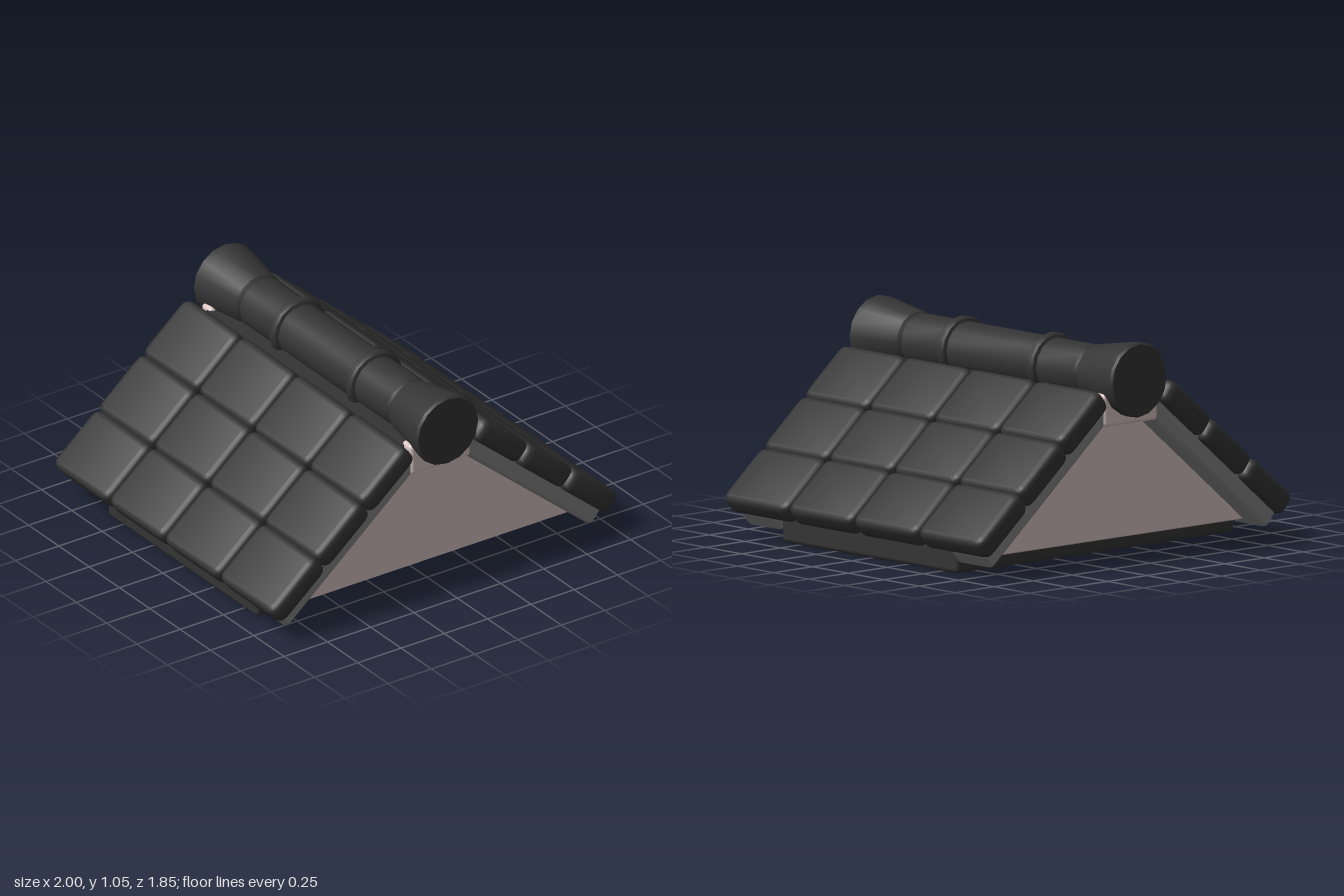
import * as THREE from 'three';
import { RoundedBoxGeometry } from 'three/addons/geometries/RoundedBoxGeometry.js';
import { toCreasedNormals } from 'three/addons/utils/BufferGeometryUtils.js';

const SLOPE = THREE.MathUtils.degToRad(40);

function material(name, color) {
  const m = new THREE.MeshStandardMaterial({ color });
  m.name = name;
  return m;
}

// Pillow-shaped tile: rounded rectangle with bevelled faces, lying flat
function tileGeometry(length, thickness, width) {
  const x = length / 2, y = width / 2, r = 0.05, bevel = 0.034;
  const shape = new THREE.Shape();
  shape.moveTo(-x + r, -y);
  shape.lineTo(x - r, -y).quadraticCurveTo(x, -y, x, -y + r);
  shape.lineTo(x, y - r).quadraticCurveTo(x, y, x - r, y);
  shape.lineTo(-x + r, y).quadraticCurveTo(-x, y, -x, y - r);
  shape.lineTo(-x, -y + r).quadraticCurveTo(-x, -y, -x + r, -y);
  const depth = thickness - 2 * bevel;
  const geometry = new THREE.ExtrudeGeometry(shape, {
    depth, curveSegments: 3, bevelThickness: bevel, bevelSize: 0.028, bevelOffset: -0.028, bevelSegments: 3,
  });
  geometry.translate(0, 0, -depth / 2);
  geometry.rotateX(-Math.PI / 2);
  return toCreasedNormals(geometry, 0.8);
}

export function createModel() {
  const model = new THREE.Group();
  model.name = 'roof';
  const charcoal = material('charcoal', 0x343434);
  const grey = material('grey', 0x878787);
  const plaster = material('pale plaster', 0xdac7c4);

  function add(name, geometry, mat, x = 0, y = 0, z = 0) {
    const mesh = new THREE.Mesh(geometry, mat);
    mesh.name = name;
    mesh.position.set(x, y, z);
    model.add(mesh);
    return mesh;
  }

  // Places a part on a roof slope: t runs down the slope, n out of it
  function addOnSlope(name, geometry, mat, side, t, n, z) {
    const c = Math.cos(SLOPE), s = Math.sin(SLOPE);
    const mesh = add(name, geometry, mat, side * (n * s + t * c), n * c - t * s, z);
    mesh.rotation.z = -side * SLOPE;
  }

  // Base slab
  add('baseSlab', new RoundedBoxGeometry(1.78, 0.135, 1.235, 2, 0.022), charcoal, 0, 0.0675, 0);

  // Gable body whose walls overhang the slab at front and back
  const gable = new THREE.Shape([
    new THREE.Vector2(-0.84, 0.085), new THREE.Vector2(0.84, 0.085),
    new THREE.Vector2(0.14, 0.68), new THREE.Vector2(-0.14, 0.68),
  ]);
  const body = new THREE.ExtrudeGeometry(gable, {
    depth: 1.46, bevelThickness: 0.015, bevelSize: 0.015, bevelOffset: -0.015, bevelSegments: 1,
  });
  body.translate(0, 0, -0.73);
  add('gableBody', body, plaster);

  // Dark bed under the ridge, closed by a pale block at each end
  add('ridgeBed', new THREE.BoxGeometry(0.36, 0.13, 1.62), charcoal, 0, 0.73, 0);
  const block = new RoundedBoxGeometry(0.35, 0.16, 0.08, 2, 0.02);
  for (const end of [-1, 1]) add('ridgeEndBlock', block, plaster, 0, 0.73, end * 0.825);

  // Rafters, decks and tiles on both slopes
  const rafter = new RoundedBoxGeometry(1.0, 0.11, 0.24, 2, 0.026);
  const deck = new THREE.BoxGeometry(0.93, 0.07, 1.24);
  const tile = tileGeometry(0.345, 0.114, 0.452);
  for (const side of [-1, 1]) {
    for (const end of [-1, 1]) addOnSlope('rafter', rafter, grey, side, 0.143, 0.655, end * 0.738);
    addOnSlope('roofDeck', deck, grey, side, 0.118, 0.665, 0);
    for (let row = 0; row < 3; row++) {
      for (let col = 0; col < 4; col++) {
        addOnSlope('roofTile', tile, charcoal, side, -0.192 + row * 0.337, 0.742, (col - 1.5) * 0.4555);
      }
    }
  }

  // Ridge roll: half profile of radius and distance from the middle, mirrored
  const half = [
    [0.132, 0.287], [0.148, 0.293], [0.156, 0.304], [0.156, 0.325], [0.148, 0.336], [0.132, 0.342],
    [0.132, 0.605], [0.122, 0.618], [0.137, 0.632], [0.177, 0.87], [0.181, 0.912], [0.172, 0.925], [0, 0.925],
  ];
  const profile = [
    ...half.slice().reverse().map(([r, z]) => new THREE.Vector2(r, -z)),
    ...half.map(([r, z]) => new THREE.Vector2(r, z)),
  ];
  const roll = toCreasedNormals(new THREE.LatheGeometry(profile, 16), 0.5);
  roll.rotateX(Math.PI / 2);
  add('ridgeRoll', roll, charcoal, 0, 0.868, 0);

  return model;
}
